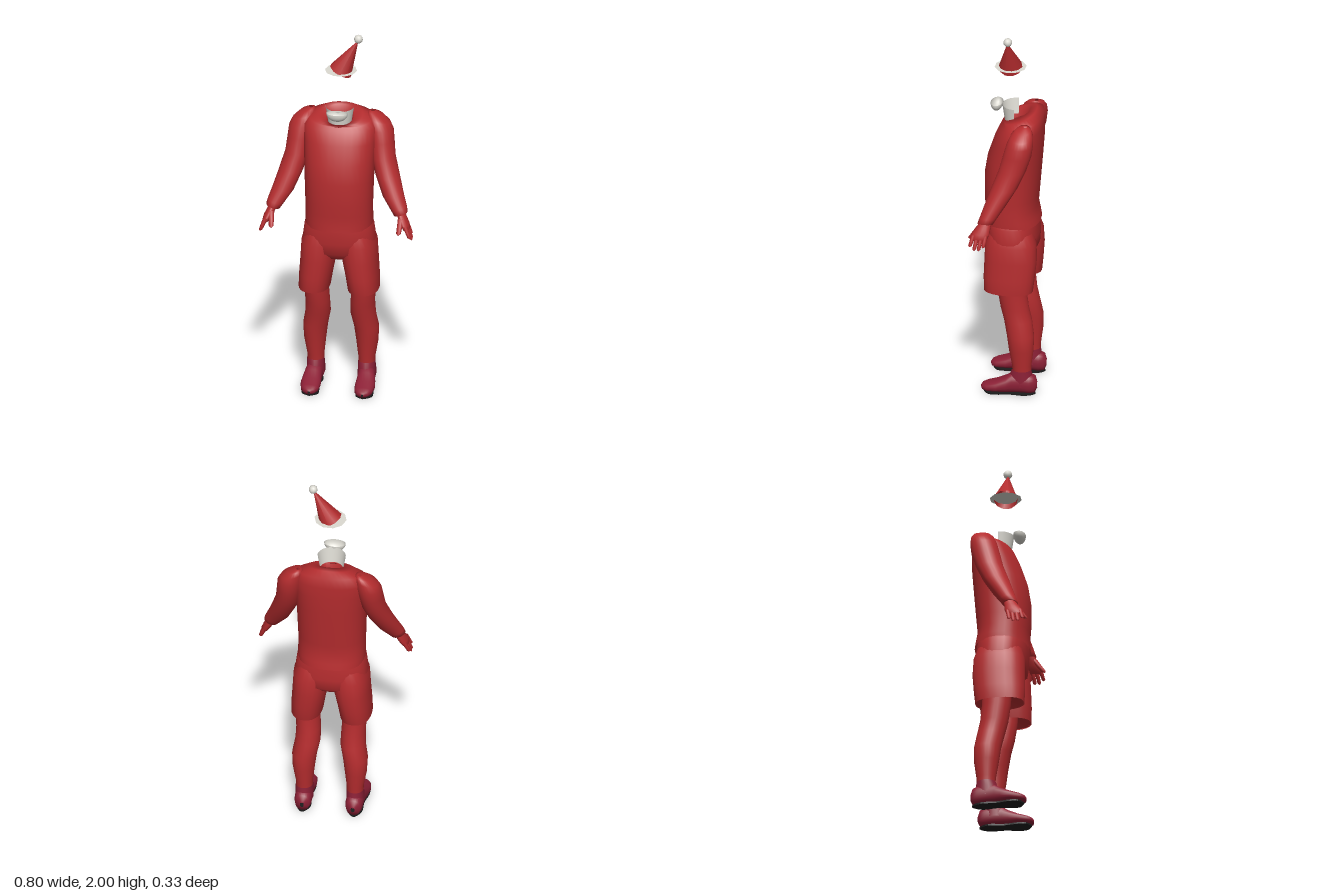
import * as THREE from 'three';

const material = (name, color, side = THREE.FrontSide) => {
  const m = new THREE.MeshStandardMaterial({ color, side });
  m.name = name;
  return m;
};

// Skin through rings listed from top to bottom: [x, y, z, radiusX, radiusZ, slopeX, slopeZ].
// s mirrors the part across x; power above 2 makes the section boxier.
function loft(rings, { s = 1, n = 24, power = 2 } = {}) {
  const pos = [], index = [];
  const bend = (v) => Math.sign(v) * Math.pow(Math.abs(v), 2 / power);
  rings.forEach(([x, y, z, rx, rz, slopeX = 0, slopeZ = 0], i) => {
    for (let j = 0; j < n; j++) {
      const a = (j / n) * Math.PI * 2;
      const dx = bend(Math.cos(a)) * rx, dz = bend(Math.sin(a)) * rz;
      pos.push(s * x + dx, y + s * slopeX * dx + slopeZ * dz, z + dz);
      if (i < rings.length - 1) {
        const p = i * n + j, q = i * n + (j + 1) % n;
        index.push(p, q, p + n, q, q + n, p + n);
      }
    }
  });
  const g = new THREE.BufferGeometry();
  g.setAttribute('position', new THREE.Float32BufferAttribute(pos, 3));
  g.setIndex(index);
  g.computeVertexNormals();
  return g;
}

export function createModel() {
  const group = new THREE.Group();
  const red = material('red cloth', 0xb42c2e, THREE.DoubleSide);
  const shoeRed = material('crimson shoe', 0x8c2036);
  const black = material('black sole', 0x1c1c1c);
  const white = material('off white', 0xdcdad2, THREE.DoubleSide);
  const add = (name, geometry, mat) => {
    const mesh = new THREE.Mesh(geometry, mat);
    mesh.name = name;
    group.add(mesh);
    return mesh;
  };

  // Shirt body with a neckline that rises to the back
  add('shirt', loft([
    [0, 1.48, -0.03, 0.062, 0.058, 0, -0.43],
    [0, 1.53, -0.03, 0.072, 0.068, 0, -0.43],
    [0, 1.526, -0.045, 0.115, 0.085, 0, -0.38],
    [0, 1.51, -0.065, 0.165, 0.098, 0, -0.25],
    [0, 1.47, -0.055, 0.19, 0.11],
    [0, 1.40, -0.04, 0.187, 0.126],
    [0, 1.30, -0.02, 0.182, 0.139],
    [0, 1.20, -0.008, 0.178, 0.143],
    [0, 1.08, -0.003, 0.174, 0.138],
    [0, 1.02, -0.003, 0.173, 0.133],
    [0, 0.97, -0.008, 0.174, 0.138],
    [0, 0.935, -0.01, 0.173, 0.142],
  ], { n: 36, power: 2.3 }), red);

  // Shorts: waist and closed seat
  add('shortsWaist', loft([
    [0, 0.96, -0.008, 0.165, 0.125],
    [0, 0.935, -0.008, 0.178, 0.132],
    [0, 0.86, -0.012, 0.188, 0.133],
    [0, 0.80, -0.015, 0.186, 0.128],
    [0, 0.76, -0.015, 0.14, 0.09],
    [0, 0.74, -0.015, 0.02, 0.02],
  ], { n: 36, power: 2.4 }), red);

  for (const s of [1, -1]) {
    const side = s > 0 ? 'left' : 'right';

    add(side + 'ShortsLeg', loft([
      [0.09, 0.90, -0.012, 0.08, 0.115],
      [0.1, 0.84, -0.014, 0.094, 0.132],
      [0.107, 0.75, -0.015, 0.092, 0.136],
      [0.119, 0.66, -0.01, 0.086, 0.133],
      [0.127, 0.58, -0.007, 0.081, 0.127],
      [0.127, 0.585, -0.007, 0.075, 0.12],
      [0.124, 0.62, -0.015, 0.05, 0.06],
    ], { s, power: 2.3 }), red);

    add(side + 'Leg', loft([
      [0.122, 0.66, -0.02, 0.062, 0.076],
      [0.121, 0.57, -0.026, 0.062, 0.075],
      [0.117, 0.48, -0.038, 0.063, 0.073],
      [0.117, 0.41, -0.055, 0.065, 0.072],
      [0.132, 0.33, -0.07, 0.064, 0.07],
      [0.135, 0.25, -0.075, 0.057, 0.064],
      [0.132, 0.16, -0.077, 0.044, 0.05],
      [0.132, 0.09, -0.078, 0.043, 0.048],
    ], { s }), red);

    // Shoe: lofted from toe to heel, then laid along z
    const shoe = loft([
      [0.138, 0.133, -0.025, 0.006, 0.006],
      [0.138, 0.125, -0.027, 0.028, 0.016],
      [0.139, 0.10, -0.03, 0.045, 0.024],
      [0.14, 0.05, -0.038, 0.052, 0.032],
      [0.139, 0.00, -0.05, 0.048, 0.044],
      [0.136, -0.03, -0.06, 0.045, 0.054],
      [0.133, -0.08, -0.062, 0.045, 0.056],
      [0.132, -0.12, -0.058, 0.044, 0.053],
      [0.132, -0.145, -0.055, 0.036, 0.045],
      [0.132, -0.158, -0.052, 0.01, 0.015],
    ], { s, power: 2.3 }).rotateX(Math.PI / 2);
    add(side + 'Shoe', shoe, shoeRed);
    add(side + 'ShoeAnkle', loft([
      [0.132, 0.135, -0.077, 0.045, 0.05],
      [0.132, 0.10, -0.073, 0.046, 0.058],
      [0.132, 0.05, -0.073, 0.046, 0.07],
    ], { s }), shoeRed);

    // Thin sole in two pads, joined by a narrow arch
    const outline = new THREE.Shape(new THREE.SplineCurve([
      [0.138, 0.122], [0.178, 0.095], [0.184, 0.05], [0.17, -0.02], [0.17, -0.1], [0.134, -0.15],
      [0.096, -0.1], [0.106, -0.02], [0.096, 0.05], [0.1, 0.095], [0.138, 0.122],
    ].map(([x, z]) => new THREE.Vector2(s * x, -z))).getPoints(40));
    const sole = new THREE.ExtrudeGeometry(outline, { depth: 0.009, bevelEnabled: false });
    add(side + 'Sole', sole.rotateX(-Math.PI / 2), black);

    // Sleeve from shoulder cap to cuff
    add(side + 'Sleeve', loft([
      [0.16, 1.532, -0.10, 0.01, 0.01],
      [0.178, 1.522, -0.095, 0.04, 0.038, -0.3],
      [0.193, 1.495, -0.088, 0.06, 0.058, -0.3],
      [0.203, 1.45, -0.08, 0.067, 0.069, -0.1],
      [0.212, 1.39, -0.068, 0.064, 0.073],
      [0.223, 1.31, -0.045, 0.062, 0.07],
      [0.25, 1.22, -0.008, 0.062, 0.066],
      [0.285, 1.13, 0.035, 0.053, 0.054, 0.2],
      [0.318, 1.07, 0.065, 0.041, 0.044, 0.3],
      [0.33, 1.045, 0.077, 0.036, 0.04, 0.3],
      [0.33, 1.05, 0.077, 0.022, 0.028, 0.3],
    ], { s }), red);

    // Hand with four fingers and a thumb
    add(side + 'Palm', loft([
      [0.323, 1.065, 0.07, 0.022, 0.03],
      [0.338, 1.03, 0.083, 0.023, 0.036],
      [0.353, 1.0, 0.095, 0.023, 0.045],
      [0.364, 0.975, 0.103, 0.018, 0.043],
      [0.368, 0.965, 0.106, 0.008, 0.03],
    ], { s, n: 16 }), red);
    const finger = (name, a, b, r) => add(side + name, loft([0, 0.5, 0.9, 1].map((t) => [
      a[0] + (b[0] - a[0]) * t, a[1] + (b[1] - a[1]) * t, a[2] + (b[2] - a[2]) * t,
      r * (t === 1 ? 0.2 : 1 - 0.25 * t), r * (t === 1 ? 0.2 : 1 - 0.25 * t),
    ]), { s, n: 10 }), red);
    [0, 1, 2, 3].forEach((i) => finger('Finger' + (i + 1),
      [0.36, 0.995, 0.068 + i * 0.021],
      [0.386 + (i % 3 ? 0.006 : 0), i % 3 ? 0.918 : 0.934, 0.078 + i * 0.023], 0.0125));
    finger('Thumb', [0.336, 1.03, 0.105], [0.329, 0.955, 0.158], 0.016);
  }

  // Open front of the neck and the bowl of the chin
  add('neckFront', new THREE.CylinderGeometry(0.073, 0.06, 0.085, 20, 1, true, -Math.PI / 2, Math.PI)
    .translate(0, 1.5375, -0.025), white);
  add('chin', new THREE.SphereGeometry(1, 20, 8, 0, Math.PI * 2, Math.PI / 2, Math.PI / 2)
    .scale(0.056, 0.045, 0.032).translate(0, 1.585, 0.077), white);

  // Tilted party-style hat floating above a flat brim
  const cone = add('hatCone', new THREE.ConeGeometry(0.062, 0.2, 10, 1, true), red);
  cone.rotation.z = -0.475;
  cone.position.set(0.055, 1.883, 0.004);
  add('hatBrim', new THREE.CircleGeometry(0.083, 10).rotateX(-Math.PI / 2)
    .translate(0.01, 1.798, 0.004), white);
  add('hatPompom', new THREE.SphereGeometry(0.023, 10, 8).translate(0.1, 1.977, 0.002), white);

  return group;
}
